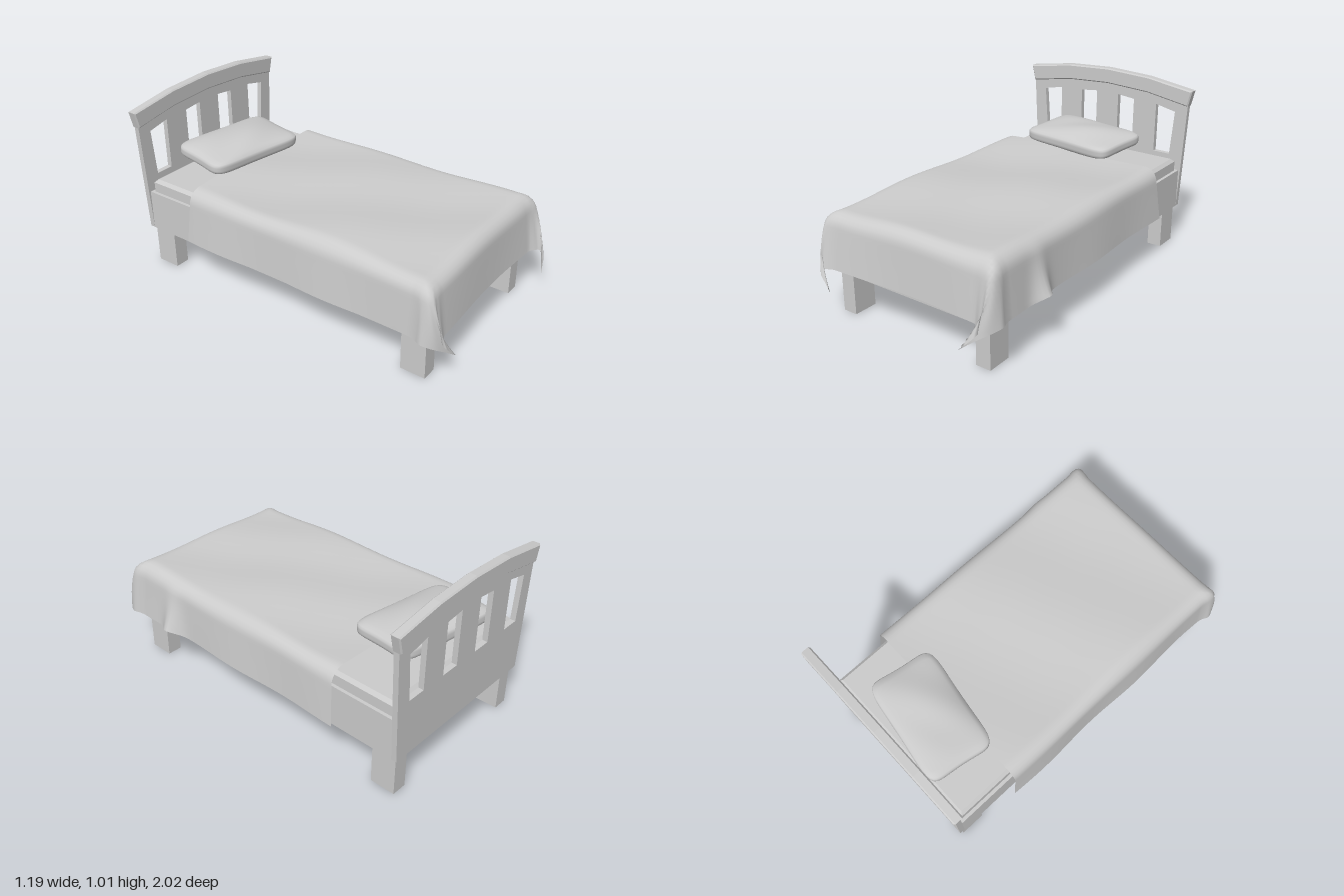
import * as THREE from 'three';
import { mergeVertices } from 'three/addons/utils/BufferGeometryUtils.js';

const CX = -0.02; // centre line of the bed frame
const material = new THREE.MeshStandardMaterial({ color: 0xcccccc });
const clothMaterial = new THREE.MeshStandardMaterial({ color: 0xcccccc, side: THREE.DoubleSide });

function addMesh(group, name, geometry, mat = material) {
  const mesh = new THREE.Mesh(geometry, mat);
  mesh.name = name;
  group.add(mesh);
  return mesh;
}

function addBox(group, name, [x0, x1], [y0, y1], [z0, z1]) {
  const mesh = addMesh(group, name, new THREE.BoxGeometry(x1 - x0, y1 - y0, z1 - z0));
  mesh.position.set((x0 + x1) / 2, (y0 + y1) / 2, (z0 + z1) / 2);
  return mesh;
}

const shapeOf = (points) => new THREE.Shape(points.map(([x, y]) => new THREE.Vector2(x, y)));

// Slatted headboard with an arched cap rail
function addHeadboard(bed) {
  const arch = [[-0.54, 0.86], [-0.275, 0.905], [0, 0.92], [0.275, 0.905], [0.54, 0.86]];
  const crown = [[0.562, 0.952], [0.275, 0.996], [0, 1.01], [-0.275, 0.996], [-0.562, 0.952]];

  const panel = shapeOf([[-0.508, 0.23], [0.508, 0.23], ...arch.map(([x, y]) => [x, y + 0.01]).reverse()]);
  const openings = [
    [[-0.44, 0.55], [-0.335, 0.55], [-0.335, 0.842], [-0.46, 0.815]],
    [[-0.185, 0.55], [-0.075, 0.55], [-0.075, 0.86], [-0.185, 0.848]],
  ];
  for (const points of openings) {
    for (const side of [1, -1]) {
      panel.holes.push(new THREE.Path(points.map(([x, y]) => new THREE.Vector2(side * x, y))));
    }
  }
  addMesh(bed, 'headboardPanel', new THREE.ExtrudeGeometry(panel, { depth: 0.03, bevelEnabled: false }))
    .position.set(CX, 0, -0.985);

  const cap = new THREE.ExtrudeGeometry(shapeOf([...arch, ...crown]), {
    depth: 0.04, bevelSize: 0.007, bevelThickness: 0.007, bevelOffset: -0.006, bevelSegments: 1,
  });
  addMesh(bed, 'headboardCap', cap).position.set(CX, 0, -0.992);
}

// Mattress with chamfered edges
function addMattress(bed) {
  const bevel = 0.018;
  const w = 0.49 - bevel, back = -0.935 + bevel, front = 0.84 - bevel;
  const geometry = new THREE.ExtrudeGeometry(shapeOf([[-w, -front], [w, -front], [w, -back], [-w, -back]]), {
    depth: 0.1, bevelSize: bevel, bevelThickness: bevel, bevelSegments: 1,
  });
  geometry.rotateX(-Math.PI / 2);
  addMesh(bed, 'mattress', geometry).position.set(CX, 0.417, 0);
}

// Plump pillow: a cube rounded by a power norm, thinner towards its rim
function addPillow(bed) {
  let geometry = new THREE.BoxGeometry(2, 2, 2, 28, 8, 20);
  geometry.deleteAttribute('uv');
  geometry.deleteAttribute('normal');
  geometry = mergeVertices(geometry, 1e-4);
  const p = geometry.attributes.position;
  for (let i = 0; i < p.count; i++) {
    let x = p.getX(i), y = p.getY(i), z = p.getZ(i);
    const norm = Math.pow(x ** 6 + y ** 6 + z ** 6, 1 / 6);
    x /= norm; y /= norm; z /= norm;
    const puff = (1 - x * x) * (1 - z * z);
    const pinchX = 1 - 0.05 * (1 - z * z), pinchZ = 1 - 0.05 * (1 - x * x);
    p.setXYZ(i,
      0.318 * x * pinchX,
      y * (0.036 + 0.034 * puff) + 0.006 * Math.sin(4 * x + 3 * z) * puff,
      0.198 * z * pinchZ);
  }
  geometry.computeVertexNormals();
  const pillow = addMesh(bed, 'pillow', geometry);
  pillow.position.set(-0.04, 0.638, -0.715);
  pillow.rotation.set(0.06, -0.15, 0, 'YXZ');
}

// Blanket: a flat cloth draped over the sides and foot, with loose folded corners
function addBlanket(bed) {
  const halfW = 0.46, foot = 0.81, head = -0.61, hang = 0.35, r = 0.08;
  const nu = 72, nv = 80;
  const positions = [], indices = [];

  const drape = (u, v) => {
    const side = Math.sign(u) || 1;
    const ox = Math.max(0, Math.abs(u) - halfW), oz = Math.max(0, v - foot);
    const d = Math.pow(ox ** 4 + oz ** 4, 0.25);
    const angle = Math.atan2(oz, ox);
    const bend = Math.min(d / r, Math.PI / 2);
    const fall = Math.max(0, d - r * Math.PI / 2);
    const t = d / hang;
    const out = d > 0 ? r * Math.sin(bend) + 0.08 * fall : 0;
    const k = Math.min(ox, oz) / hang;

    let x = side * (Math.min(Math.abs(u), halfW) + out * Math.cos(angle));
    let z = Math.min(v, foot) + out * Math.sin(angle);
    let y = 0.577 - r * (1 - Math.cos(bend)) - fall;

    // soft wrinkles over the top, fading down the sides
    const soft = Math.max(0, 1 - t * 1.5);
    y += soft * (0.009 * Math.sin(7 * v + 3 * u + 0.6) + 0.006 * Math.sin(9 * u - 5 * v));
    if (ox > 0) x += side * 0.006 * t * Math.sin(9 * v + side);
    if (oz > 0) z += 0.012 * t * (1 - Math.sin(5 * u + 1.2));

    // side flare near the foot
    if (side > 0 && ox > 0) {
      const flare = Math.exp(-(((v - 0.55) / 0.06) ** 2)) * t * t;
      x += 0.06 * flare;
      y += 0.03 * flare;
    }
    // corner tips fold forward and inward
    x += side * (0.14 * k * (1 - k) - 0.1 * k * k);
    z += (side > 0 ? 0.11 : 0.085) * k + 0.02 * k * (1 - k) * Math.sin(14 * angle);
    y -= 0.035 * k * k;
    // slanted head hem
    z -= 0.1 * fall * Math.max(0, 1 - (v - head) / 0.3);
    return [x + CX, y, z];
  };

  for (let j = 0; j <= nv; j++) {
    const v = THREE.MathUtils.lerp(head, foot + hang, j / nv);
    for (let i = 0; i <= nu; i++) {
      const u = THREE.MathUtils.lerp(-halfW - hang, halfW + hang, i / nu);
      positions.push(...drape(u, v));
      if (i < nu && j < nv) {
        const a = j * (nu + 1) + i, b = a + nu + 1;
        indices.push(a, b, a + 1, a + 1, b, b + 1);
      }
    }
  }
  const geometry = new THREE.BufferGeometry();
  geometry.setAttribute('position', new THREE.Float32BufferAttribute(positions, 3));
  geometry.setIndex(indices);
  geometry.computeVertexNormals();
  addMesh(bed, 'blanket', geometry, clothMaterial);
}

export function createModel() {
  const bed = new THREE.Group();
  bed.name = 'bed';

  addBox(bed, 'bedFrame', [CX - 0.508, CX + 0.508], [0.23, 0.46], [-0.97, 0.865]);

  // Four square legs
  for (const [x0, x1] of [[-0.505, -0.42], [0.38, 0.465]]) {
    addBox(bed, 'frontLeg', [x0, x1], [0, 0.235], [0.715, 0.855]);
    addBox(bed, 'backLeg', [x0, x1], [0, 0.235], [-0.965, -0.825]);
  }

  addHeadboard(bed);
  addMattress(bed);
  addPillow(bed);
  addBlanket(bed);
  return bed;
}
